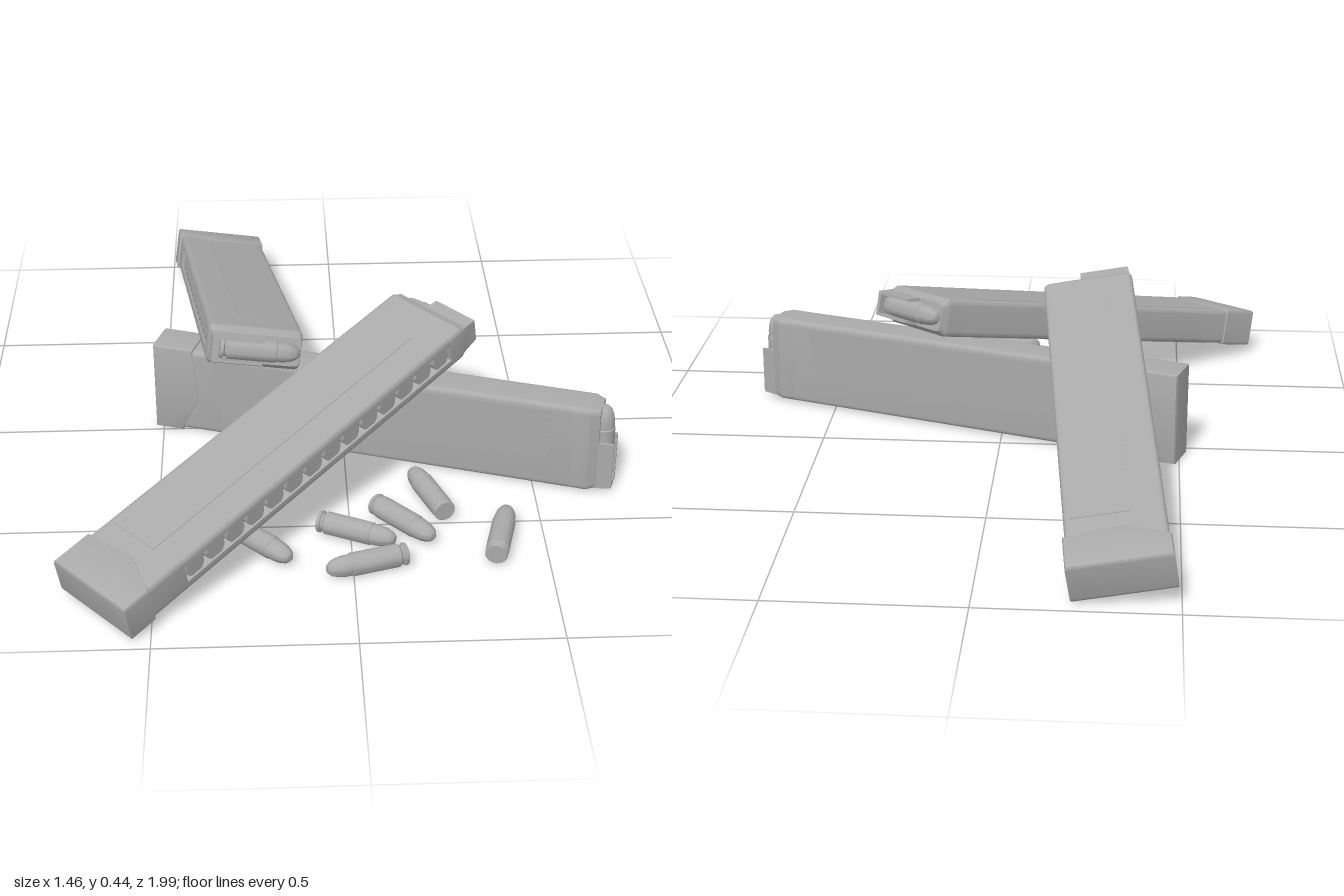
import * as THREE from 'three';
import { toCreasedNormals } from 'three/addons/utils/BufferGeometryUtils.js';

const grey = new THREE.MeshStandardMaterial({ color: 0xaaaaaa });
grey.name = 'plain grey';

const W = 0.25, T = 0.105, LENGTH = 1.29;
const v = (x, y, z) => new THREE.Vector3(x, y, z);

function add(parent, geometry, name) {
  const mesh = new THREE.Mesh(geometry, grey);
  mesh.name = name;
  parent.add(mesh);
  return mesh;
}

// Rounded case section (x = depth, y = thickness), optionally notched at the back
function caseSection(w, t, r, slot = 0) {
  const s = new THREE.Shape(), a = w / 2, b = t / 2;
  s.moveTo(-a + r, -b);
  s.lineTo(a - r, -b);
  s.quadraticCurveTo(a, -b, a, -b + r);
  s.lineTo(a, b - r);
  s.quadraticCurveTo(a, b, a - r, b);
  s.lineTo(-a + r, b);
  s.quadraticCurveTo(-a, b, -a, b - r);
  if (slot) {
    s.lineTo(-a, slot);
    s.lineTo(-a + 0.03, slot);
    s.lineTo(-a + 0.03, -slot);
    s.lineTo(-a, -slot);
  }
  s.lineTo(-a, -b + r);
  s.quadraticCurveTo(-a, -b, -a + r, -b);
  return s;
}

// Sweep a section along the length, shrinking the far end if asked
function sweep(shape, from, to, endDepth = 1, endThick = 1) {
  let g = new THREE.ExtrudeGeometry(shape, { depth: to - from, bevelEnabled: false, curveSegments: 5 });
  const p = g.attributes.position;
  for (let i = 0; i < p.count; i++) {
    if (p.getZ(i) > (to - from) / 2) p.setXY(i, p.getX(i) * endDepth, p.getY(i) * endThick);
  }
  g.translate(0, 0, from);
  g.applyMatrix4(new THREE.Matrix4().makeBasis(v(0, 1, 0), v(0, 0, 1), v(1, 0, 0)));
  return toCreasedNormals(g, 0.6);
}

function polygon(points) {
  return new THREE.Shape(points.map(([x, y]) => new THREE.Vector2(x, y)));
}

// Cartridge along +y with its rim at y = 0
const cartridgeGeometry = toCreasedNormals(new THREE.LatheGeometry([
  [0, 0], [0.027, 0], [0.029, 0.003], [0.029, 0.009], [0.024, 0.012], [0.024, 0.017],
  [0.03, 0.022], [0.03, 0.148], [0.0275, 0.15], [0.0275, 0.165], [0.025, 0.185],
  [0.019, 0.202], [0.01, 0.212], [0, 0.215],
].map(([x, y]) => new THREE.Vector2(x, y)), 20), 0.6);

// Case: x runs from floor plate to feed lips, y is the bullet side, z the thickness
function makeCase(name) {
  const group = new THREE.Group();
  group.name = name;

  // Floor plate with a kinked joint
  const h = W / 2 - 0.001;
  const plate = new THREE.ExtrudeGeometry(polygon([
    [0.008, -h], [0.078, -h], [0.128, -0.02], [0.112, h], [0.008, h],
  ]), { depth: T - 0.014, bevelThickness: 0.009, bevelSize: 0.006, bevelSegments: 3 });
  plate.translate(0, 0, -(T - 0.014) / 2);
  add(group, toCreasedNormals(plate, 0.6), 'floorPlate');

  // Main body, with the long viewing slot in the back
  add(group, sweep(caseSection(W, T, 0.016), 0.06, 0.2), 'lowerBody');
  add(group, sweep(caseSection(W, T, 0.016, 0.025), 0.2, 1.18), 'slottedBody');
  add(group, sweep(caseSection(W, T, 0.016), 1.18, 1.225), 'upperBody');
  add(group, sweep(caseSection(W, T, 0.016), 1.225, 1.25, 0.96, 0.74), 'shoulder');

  // Shallow raised panels on both broad sides
  for (const side of [-1, 1]) {
    const panel = add(group, new THREE.BoxGeometry(0.94, 0.15, 0.003), 'sidePanel');
    panel.position.set(0.65, 0.034, side * (T / 2));
  }

  // Cartridge bases showing in the slot, with webs between them
  const count = 14, pitch = 0.98 / count;
  for (let i = 0; i < count; i++) {
    const base = add(group, new THREE.CylinderGeometry(0.03, 0.03, 0.03, 16), 'storedCartridge');
    base.position.set(0.2 + pitch * (i + 0.5), -W / 2 + 0.021, 0);
  }

  // Feed lips: channel open towards the bullet side
  const lips = polygon([
    [-0.12, -0.04], [0.02, -0.04], [0.02, -0.031], [-0.108, -0.031],
    [-0.108, 0.031], [0.02, 0.031], [0.02, 0.04], [-0.12, 0.04],
  ]);
  add(group, sweep(lips, 1.24, LENGTH, 0.97, 0.85), 'feedLips');

  // Top cartridge
  const top = add(group, cartridgeGeometry, 'topCartridge');
  top.position.set(1.256, -0.095, 0);
  return group;
}

// Place a case from the centre of its floor plate towards its lips
function placeCase(group, from, to, front) {
  const x = to.clone().sub(from).normalize();
  const y = front.clone().addScaledVector(x, -front.dot(x)).normalize();
  const z = x.clone().cross(y);
  group.quaternion.setFromRotationMatrix(new THREE.Matrix4().makeBasis(x, y, z));
  group.position.copy(from);
  return group;
}

export function createModel() {
  const model = new THREE.Group();
  model.name = 'cartridgeCases';

  model.add(
    placeCase(makeCase('standingCase'), v(-0.507, 0.131, -0.07), v(0.715, 0.131, 0.345), v(0, 1, 0)),
    placeCase(makeCase('frontLeaningCase'), v(-0.642, 0.069, 0.893), v(0.272, 0.375, 0.04), v(-0.682, 0.08, -0.731)),
    placeCase(makeCase('rearLeaningCase'), v(-0.358, 0.077, -0.975), v(-0.234, 0.392, 0.266), v(0.99, -0.17, -0.1)),
  );

  // Loose cartridges on the ground: rim x, z then tip x, z
  const loose = [
    [0.25, 0.49, 0.178, 0.29], [0.07, 0.445, 0.215, 0.61], [-0.08, 0.52, 0.115, 0.615],
    [0.135, 0.675, -0.08, 0.74], [0.362, 0.69, 0.415, 0.475], [-0.305, 0.53, -0.157, 0.685],
  ];
  for (const [x0, z0, x1, z1] of loose) {
    const round = add(model, cartridgeGeometry, 'looseCartridge');
    round.position.set(x0, 0.031, z0);
    round.quaternion.setFromUnitVectors(v(0, 1, 0), v(x1 - x0, 0, z1 - z0).normalize());
  }
  return model;
}
